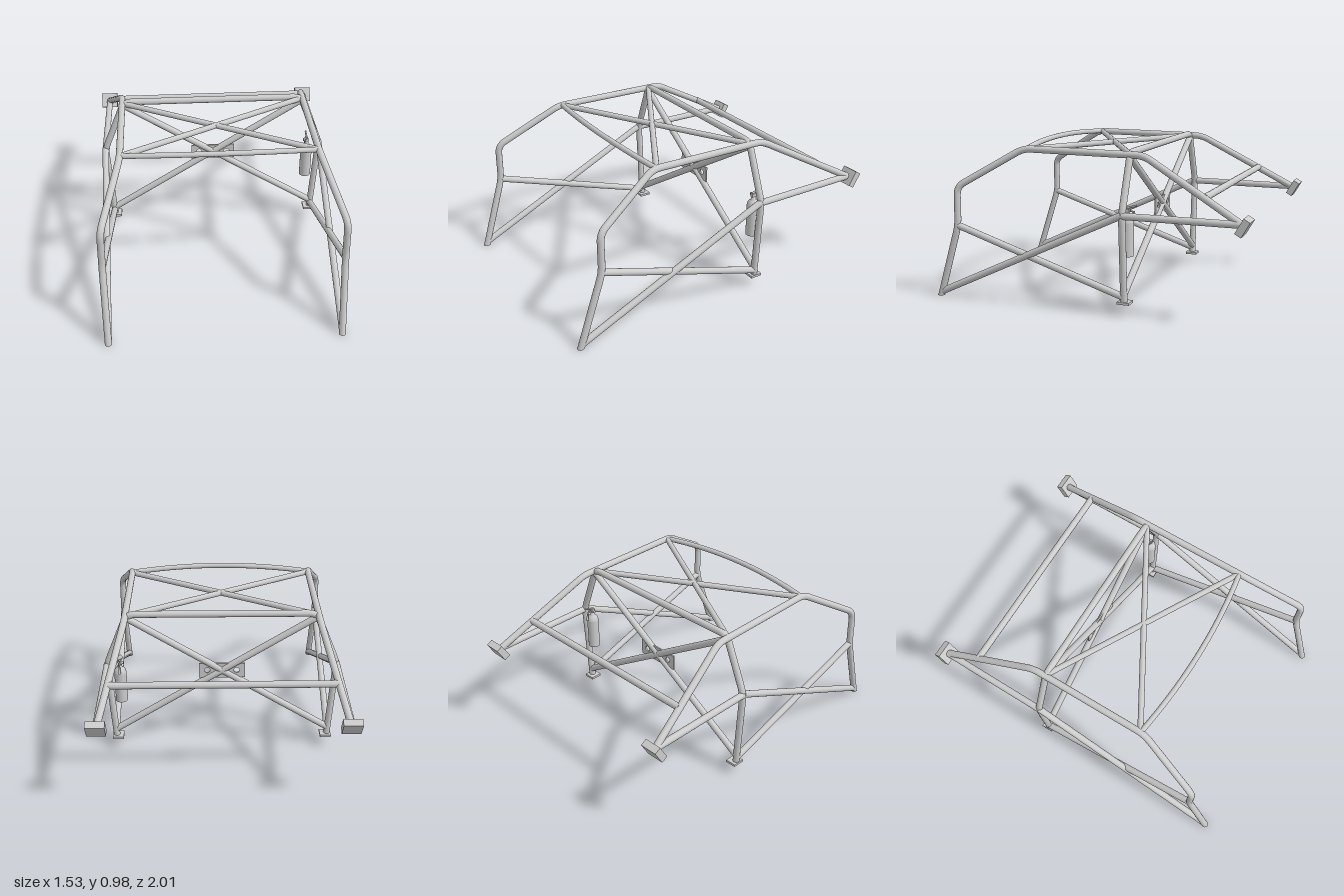
import * as THREE from 'three';

const R = 0.021;
const V = (x, y, z) => new THREE.Vector3(x, y, z);
const UP = V(0, 1, 0);

export function createModel() {
  const model = new THREE.Group();
  model.name = 'rollCage';
  const mat = new THREE.MeshStandardMaterial({ color: 0xcccccc });

  const add = (name, geometry, parent = model) => {
    const mesh = new THREE.Mesh(geometry, mat);
    mesh.name = name;
    parent.add(mesh);
    return mesh;
  };

  // Straight capped tube between two points
  const bar = (name, a, b, r = R, parent = model, r2 = r) => {
    const dir = b.clone().sub(a);
    const mesh = add(name, new THREE.CylinderGeometry(r2, r, dir.length(), 16), parent);
    mesh.position.copy(a).lerp(b, 0.5);
    mesh.quaternion.setFromUnitVectors(UP, dir.normalize());
    return mesh;
  };

  // Tube through corner points, each corner rounded over a given length
  const bentTube = (name, pts, bend, r = R, segments = 120) => {
    const path = new THREE.CurvePath();
    let from = pts[0];
    for (let i = 1; i < pts.length - 1; i++) {
      const p = pts[i];
      const before = p.clone().add(pts[i - 1].clone().sub(p).setLength(bend));
      const after = p.clone().add(pts[i + 1].clone().sub(p).setLength(bend));
      path.add(new THREE.LineCurve3(from, before));
      path.add(new THREE.QuadraticBezierCurve3(before, p, after));
      from = after;
    }
    path.add(new THREE.LineCurve3(from, pts[pts.length - 1]));
    const geo = new THREE.TubeGeometry(path, segments, r, 16);
    // Cut flat where the tube meets the ground
    const pos = geo.attributes.position;
    for (let i = 0; i < pos.count; i++) pos.setY(i, Math.max(0, pos.getY(i)));
    return add(name, geo);
  };

  // Main hoop behind the seats
  bentTube('mainHoop', [
    V(-0.68, 0.08, -0.25), V(-0.714, 0.6, -0.25), V(-0.575, 0.943, -0.25),
    V(0.575, 0.943, -0.25), V(0.714, 0.6, -0.25), V(0.68, 0.08, -0.25),
  ], 0.05, R, 160);

  for (const s of [-1, 1]) {
    const side = s > 0 ? 'left' : 'right';

    // Front pillar, roof rail and rear stay in one bent tube
    bentTube(side + 'SideRail', [
      V(s * 0.692, -0.012, 0.983), V(s * 0.703, 0.46, 0.835), V(s * 0.699, 0.7, 0.835),
      V(s * 0.587, 0.937, 0.435), V(s * 0.587, 0.93, -0.335), V(s * 0.705, 0.595, -0.945),
    ], 0.05, R, 160);
    const cap = add(side + 'PillarEnd', new THREE.CircleGeometry(R, 16));
    cap.rotation.x = Math.PI / 2;
    cap.position.set(s * 0.692, 0.0005, 0.979);

    // Door cross and rear horizontal brace
    bar(side + 'DoorBarRising', V(s * 0.692, 0.025, 0.972), V(s * 0.714, 0.6, -0.25));
    bar(side + 'DoorBarFalling', V(s * 0.702, 0.46, 0.835), V(s * 0.682, 0.11, -0.25));
    bar(side + 'RearBrace', V(s * 0.714, 0.595, -0.25), V(s * 0.708, 0.595, -0.945));

    // Mounting plates
    const foot = add(side + 'HoopFoot', new THREE.BoxGeometry(0.07, 0.015, 0.075));
    foot.position.set(s * 0.67, 0.077, -0.252);
    const pad = add(side + 'RearMount', new THREE.BoxGeometry(0.11, 0.1, 0.043));
    pad.position.set(s * 0.71, 0.588, -0.96);
    pad.rotation.x = -Math.PI / 6;

    // Hoop and roof diagonals
    bar(side + 'HoopDiagonal', V(s * 0.585, 0.922, -0.25), V(-s * 0.675, 0.13, -0.25));
    bar(side + 'RoofDiagonal', V(s * 0.58, 0.932, -0.25), V(-s * 0.58, 0.935, 0.405), 0.018);
  }

  // Rear cross bar between the stays
  bar('rearCrossBar', V(-0.662, 0.722, -0.72), V(0.662, 0.722, -0.72));

  // Bowed bar above the windscreen
  const bow = new THREE.QuadraticBezierCurve3(
    V(-0.587, 0.937, 0.41), V(0, 0.985, 0.512), V(0.587, 0.937, 0.41));
  add('windscreenBar', new THREE.TubeGeometry(bow, 32, 0.0165, 16));

  // Drilled gusset plate at the diagonal crossing
  const plate = new THREE.Shape();
  plate.moveTo(-0.143, 0.503).lineTo(0.143, 0.503).lineTo(0.143, 0.603).lineTo(-0.143, 0.603).closePath();
  for (const x of [-0.092, 0.092]) {
    plate.holes.push(new THREE.Path().absarc(x, 0.555, 0.018, 0, Math.PI * 2, true));
  }
  const gusset = add('gussetPlate', new THREE.ExtrudeGeometry(plate,
    { depth: 0.01, bevelEnabled: false, curveSegments: 16 }));
  gusset.position.z = -0.255;

  // Fire extinguisher beside the hoop
  const ext = new THREE.Group();
  ext.name = 'fireExtinguisher';
  ext.position.set(0.634, 0.347, -0.253);
  model.add(ext);
  const body = [[0, 0], [0.038, 0], [0.038, 0], [0.038, 0.2], [0.038, 0.2], [0.034, 0.218],
    [0.024, 0.232], [0.013, 0.239], [0.013, 0.258], [0, 0.258]];
  add('extinguisherBody', new THREE.LatheGeometry(
    body.map(([r, y]) => new THREE.Vector2(r, y)), 24), ext);
  const head = add('valve', new THREE.BoxGeometry(0.022, 0.022, 0.03), ext);
  head.position.y = 0.268;
  const gauge = add('gauge', new THREE.CylinderGeometry(0.01, 0.01, 0.012, 16), ext);
  gauge.rotation.z = Math.PI / 2;
  gauge.position.set(-0.017, 0.268, 0);
  bar('upperLever', V(0, 0.28, 0.012), V(0, 0.3, -0.058), 0.006, ext);
  bar('lowerLever', V(0, 0.268, -0.01), V(0, 0.262, -0.045), 0.005, ext);
  bar('nozzle', V(0, 0.262, -0.036), V(0, 0.212, -0.048), 0.005, ext, 0.008);

  return model;
}
